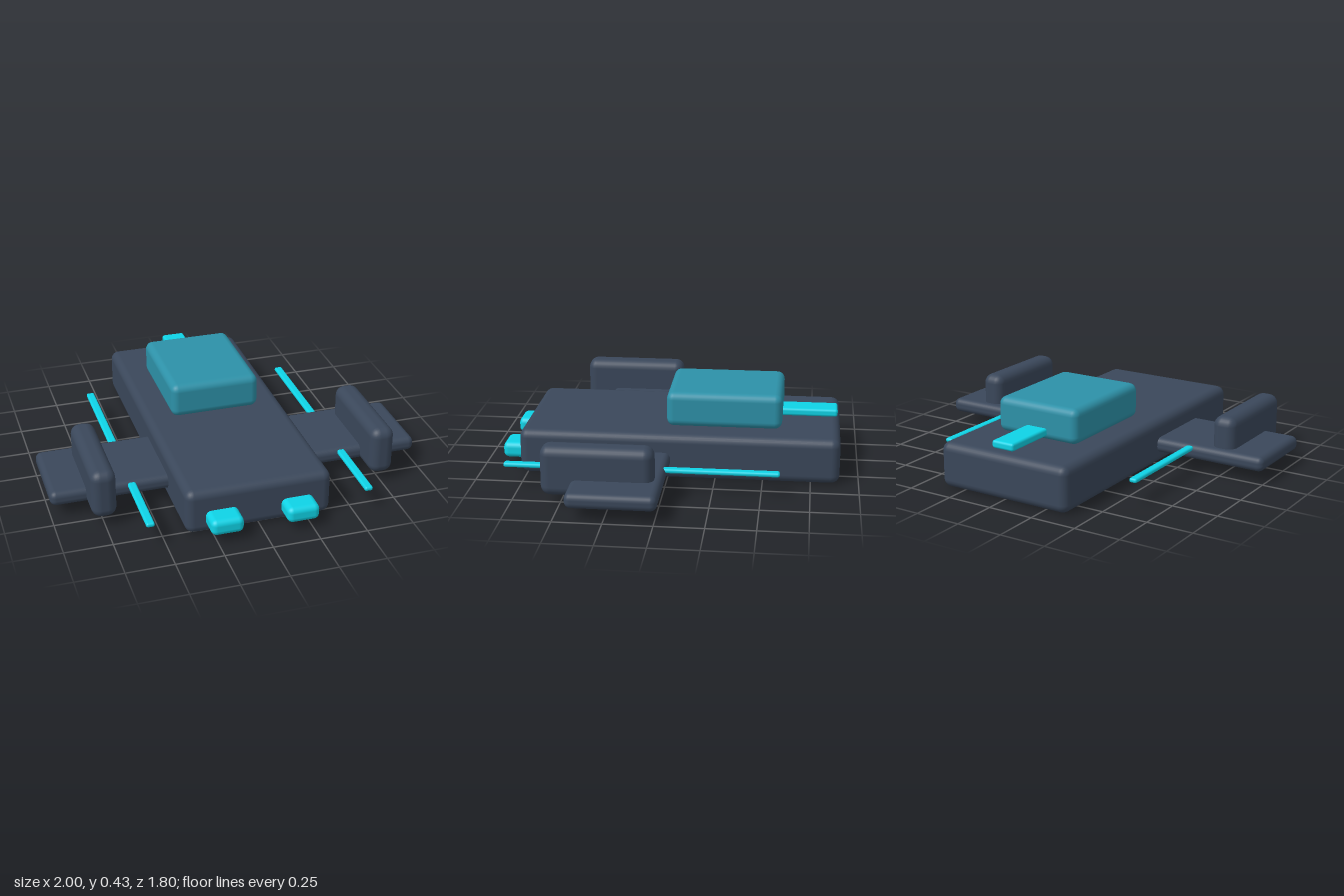
import * as THREE from 'three';
import { RoundedBoxGeometry } from 'three/addons/geometries/RoundedBoxGeometry.js';

const paint = (color) => new THREE.MeshStandardMaterial({ color });

export function createModel() {
  const model = new THREE.Group();
  model.name = 'hoverCraft';
  const hull = paint(0x3a475a);
  const glass = paint(0x2d91a8);
  const glow = paint(0x0fd3e6);

  // Rounded block given by its extents on each axis
  function block(name, material, [x0, x1], [y0, y1], [z0, z1], radius) {
    const geometry = new RoundedBoxGeometry(x1 - x0, y1 - y0, z1 - z0, 3, radius);
    const mesh = new THREE.Mesh(geometry, material);
    mesh.position.set((x0 + x1) / 2, (y0 + y1) / 2, (z0 + z1) / 2);
    mesh.name = name;
    model.add(mesh);
  }

  // The same block on both sides
  function pair(name, material, [x0, x1], y, z, radius) {
    block(name + 'Left', material, [x0, x1], y, z, radius);
    block(name + 'Right', material, [-x1, -x0], y, z, radius);
  }

  // Centre line: fuselage, wing slab, canopy and rear fin
  block('fuselage', hull, [-0.384, 0.384], [0, 0.243], [-0.9, 0.788], 0.045);
  block('wing', hull, [-1, 1], [0.066, 0.146], [-0.016, 0.44], 0.033);
  block('canopy', glass, [-0.244, 0.244], [0.24, 0.428], [-0.592, 0.02], 0.04);
  block('rearFin', glow, [-0.065, 0.065], [0.264, 0.306], [-0.885, -0.5], 0.014);

  // Side parts: wing pods, rods through the wing and front lamps
  pair('wingPod', hull, [0.684, 0.814], [0.05, 0.313], [0.022, 0.594], 0.05);
  pair('rod', glow, [0.553, 0.597], [0.114, 0.138], [-0.595, 0.826], 0.011);
  pair('lamp', glow, [0.114, 0.284], [0.044, 0.13], [0.7, 0.9], 0.03);

  return model;
}
